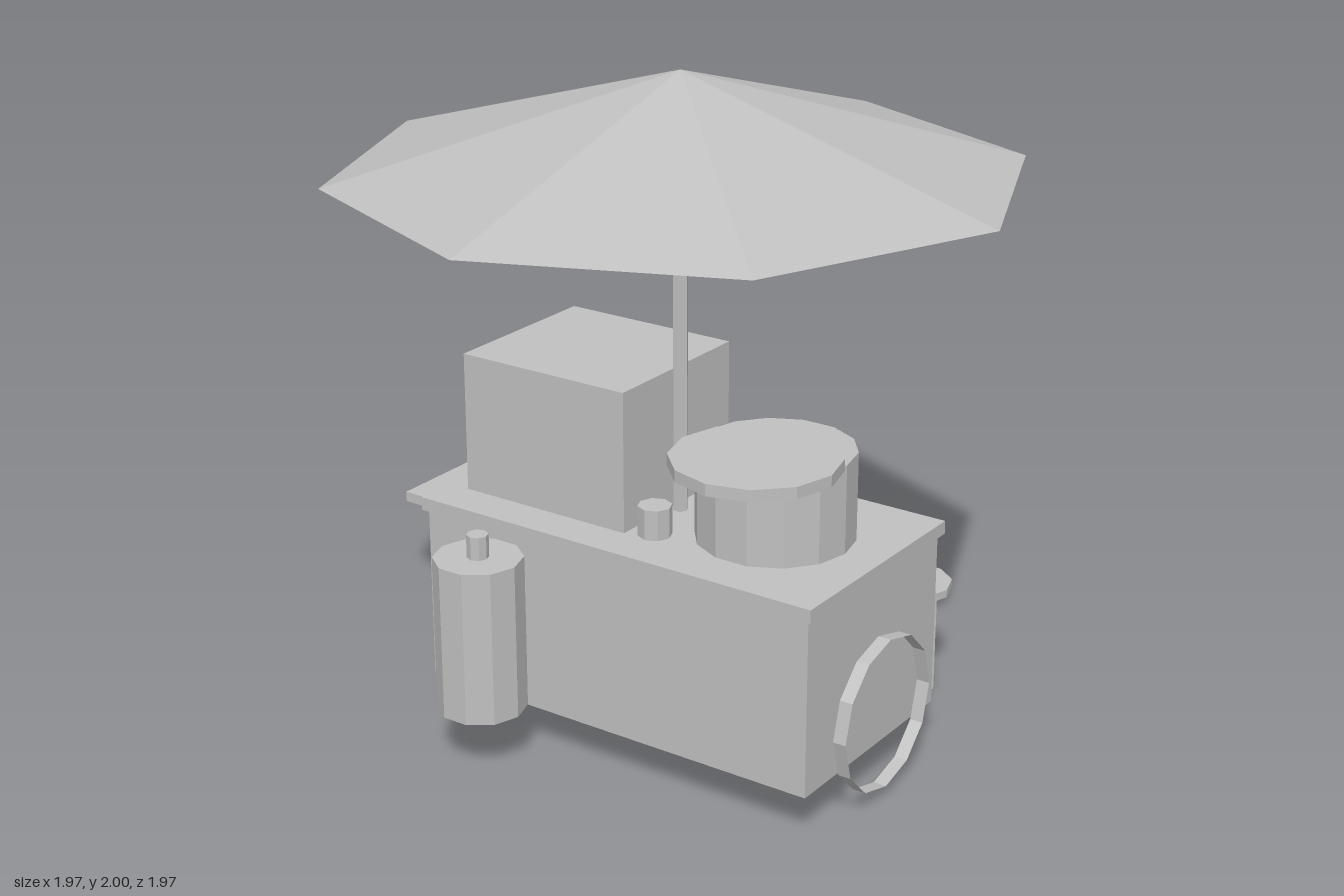
import * as THREE from 'three';

export function createModel() {
  const group = new THREE.Group();
  const grey = new THREE.MeshStandardMaterial({
    color: 0xc0c0c0, flatShading: true, side: THREE.DoubleSide,
  });
  grey.name = 'plain grey';

  function add(name, geometry, parent = group) {
    const mesh = new THREE.Mesh(geometry, grey);
    mesh.name = name;
    parent.add(mesh);
    return mesh;
  }

  // Box given by its extents on each axis
  function box(name, x0, x1, y0, y1, z0, z1) {
    const mesh = add(name, new THREE.BoxGeometry(x1 - x0, y1 - y0, z1 - z0));
    mesh.position.set((x0 + x1) / 2, (y0 + y1) / 2, (z0 + z1) / 2);
  }

  // Upright prism with a corner pointing along x
  function prism(name, r, sides, x, y0, y1, z, parent = group) {
    const geometry = new THREE.CylinderGeometry(r, r, y1 - y0, sides).rotateY(Math.PI / 2);
    add(name, geometry, parent).position.set(x, (y0 + y1) / 2, z);
  }

  // Cart body, counter and side shelf
  box('cartBody', -0.655, 0.655, 0.135, 0.67, -0.347, 0.347);
  box('counterTop', -0.67, 0.67, 0.67, 0.71, -0.361, 0.361);
  box('sideShelf', -0.765, -0.665, 0.66, 0.69, -0.32, 0.32);
  box('displayCase', -0.575, -0.01, 0.725, 1.145, -0.262, 0.262);

  // Cooking pot, lifted lid and cups
  prism('pot', 0.23, 14, 0.325, 0.71, 0.975, 0);
  prism('potLid', 0.24, 12, 0.4, 1.005, 1.04, 0.22);
  for (const z of [-0.19, 0.19]) prism('cup', 0.05, 8, 0.045, 0.71, 0.8, z);

  // Gas bottle in front
  prism('gasBottle', 0.131, 10, -0.367, 0.17, 0.64, 0.475);
  prism('gasValve', 0.032, 8, -0.367, 0.64, 0.71, 0.475);

  // Umbrella: open eight-sided canopy on a pole
  prism('umbrellaPole', 0.023, 6, 0, 0.71, 1.93, 0);
  add('umbrellaCanopy', new THREE.ConeGeometry(0.985, 0.285, 8, 1, true)).position.y = 1.8575;

  // Wheels: open hoops on both sides
  for (const side of [-1, 1]) {
    const hoop = new THREE.CylinderGeometry(0.23, 0.23, 0.04, 12, 1, true).rotateZ(Math.PI / 2);
    add('wheel', hoop).position.set(side * 0.69, 0.26, 0);
  }

  // Stools behind the cart, four thin legs each
  for (const x of [-0.4, 0.4]) {
    const stool = new THREE.Group();
    stool.name = 'stool';
    stool.position.set(x, 0, -0.65);
    prism('stoolSeat', 0.13, 10, 0, 0.32, 0.345, 0, stool);
    for (let i = 0; i < 4; i++) {
      const a = i * Math.PI / 2;
      prism('stoolLeg', 0.01, 6, 0.087 * Math.cos(a), 0, 0.32, 0.087 * Math.sin(a), stool);
    }
    group.add(stool);
  }

  return group;
}
